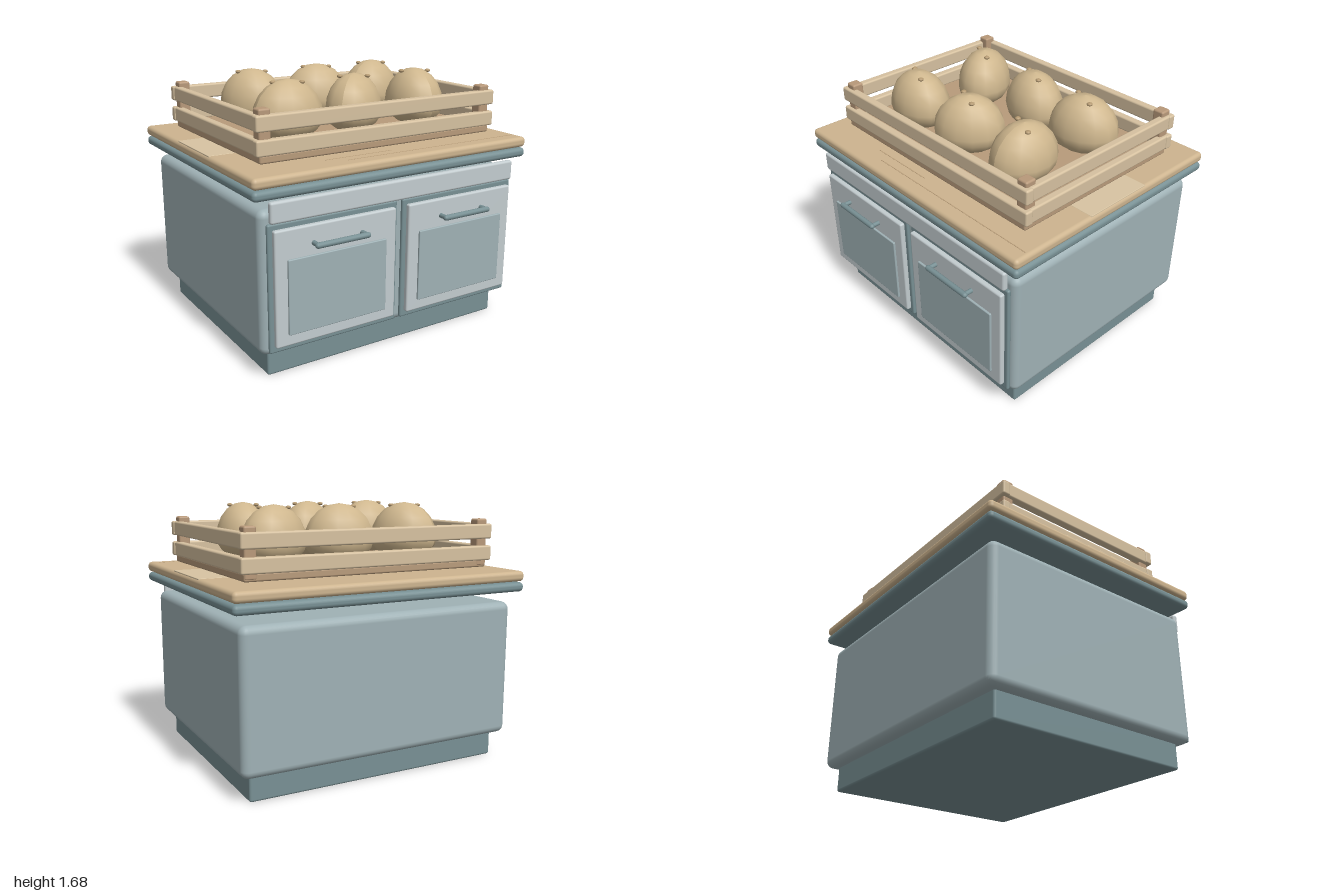
import * as THREE from 'three';
import { RoundedBoxGeometry } from 'three/addons/geometries/RoundedBoxGeometry.js';

const mat = (color) => new THREE.MeshStandardMaterial({ color });
const M = {
  body: mat(0x9fb1b5), trim: mat(0x789094), door: mat(0xc3cccf), panel: mat(0x9fb1b5),
  top: mat(0xcdb48f), plank: mat(0xd8c4a2), grain: mat(0xb89c78),
  slat: mat(0xd6c1a0), post: mat(0xb8997a), floor: mat(0xb89b7b), potato: mat(0xcfb78e), eye: mat(0xb59a72),
};

// Rounded box given by its extents on each axis
function box(parent, name, [x0, x1], [y0, y1], [z0, z1], material, radius = 0.012) {
  const w = x1 - x0, h = y1 - y0, d = z1 - z0;
  const geometry = new RoundedBoxGeometry(w, h, d, 3, Math.min(radius, w * 0.45, h * 0.45, d * 0.45));
  const mesh = new THREE.Mesh(geometry, material);
  mesh.name = name;
  mesh.position.set((x0 + x1) / 2, (y0 + y1) / 2, (z0 + z1) / 2);
  parent.add(mesh);
  return mesh;
}

function group(parent, name) {
  const g = new THREE.Group();
  g.name = name;
  parent.add(g);
  return g;
}

// Door centred on its own x axis: backing, frame, raised panel and bar handle
function addDoor(parent, name, x) {
  const door = group(parent, name);
  door.position.x = x;
  box(door, 'doorBacking', [-0.443, 0.443], [0.19, 0.975], [0.745, 0.772], M.trim);
  box(door, 'doorFrame', [-0.415, 0.415], [0.23, 0.942], [0.765, 0.803], M.door);
  box(door, 'doorPanel', [-0.337, 0.337], [0.3, 0.763], [0.79, 0.816], M.panel, 0.006);
  const bar = new THREE.Mesh(new THREE.CapsuleGeometry(0.018, 0.338, 4, 12), M.trim);
  bar.name = 'handleBar';
  bar.rotation.z = Math.PI / 2;
  bar.position.set(0, 0.833, 0.859);
  door.add(bar);
  for (const s of [-1, 1]) {
    const foot = new THREE.Mesh(new THREE.CylinderGeometry(0.015, 0.015, 0.06, 12), M.trim);
    foot.name = 'handleFoot';
    foot.rotation.x = Math.PI / 2;
    foot.position.set(s * 0.165, 0.833, 0.829);
    door.add(foot);
  }
}

// Potato: domed top, flattened underside, two small eyes
function addPotato(parent, x, z, angle) {
  const potato = group(parent, 'potato');
  potato.position.set(x, 1.45, z);
  const geometry = new THREE.SphereGeometry(1, 14, 10);
  const p = geometry.attributes.position;
  for (let i = 0; i < p.count; i++) {
    const y = p.getY(i);
    p.setXYZ(i, p.getX(i) * 0.23, y * (y > 0 ? 0.235 : 0.145), p.getZ(i) * 0.178);
  }
  geometry.computeVertexNormals();
  const skin = new THREE.Mesh(geometry, M.potato);
  skin.name = 'potatoBody';
  skin.rotation.y = THREE.MathUtils.degToRad(angle);
  potato.add(skin);
  for (const [ex, ez] of [[-0.085, -0.03], [0.075, 0.045]]) {
    const eye = new THREE.Mesh(new THREE.SphereGeometry(0.019, 10, 6), M.eye);
    eye.name = 'potatoEye';
    eye.scale.y = 0.6;
    eye.position.set(ex, 0.215, ez);
    potato.add(eye);
  }
}

export function createModel() {
  const model = new THREE.Group();
  model.name = 'counterWithCrate';

  // Cabinet
  const cabinet = group(model, 'cabinet');
  box(cabinet, 'plinth', [-0.875, 0.875], [0, 0.2], [-0.75, 0.68], M.trim, 0.015);
  box(cabinet, 'cabinetBody', [-0.943, 0.943], [0.165, 1.052], [-0.825, 0.75], M.body, 0.05);
  box(cabinet, 'topRail', [-0.895, 0.895], [0.98, 1.108], [0.758, 0.798], M.door, 0.015);
  addDoor(cabinet, 'rightDoor', -0.463);
  addDoor(cabinet, 'leftDoor', 0.463);

  // Worktop
  const worktop = group(model, 'worktop');
  box(worktop, 'worktopTrim', [-1, 1], [1.122, 1.182], [-0.88, 0.805], M.trim, 0.026);
  box(worktop, 'worktopBoard', [-1, 1], [1.188, 1.255], [-0.88, 0.805], M.top, 0.026);
  box(worktop, 'middlePlank', [-0.99, 0.99], [1.24, 1.257], [-0.29, 0.2], M.plank, 0.003);
  box(worktop, 'grainLine', [-0.45, 0.02], [1.25, 1.2565], [0.638, 0.644], M.grain, 0.001);
  box(worktop, 'grainLine', [-0.34, 0.97], [1.25, 1.2565], [0.705, 0.711], M.grain, 0.001);

  // Slatted crate
  const crate = group(model, 'crate');
  box(crate, 'crateFloor', [-0.85, 0.85], [1.27, 1.32], [-0.665, 0.595], M.floor);
  for (const y of [[1.315, 1.41], [1.455, 1.55]]) {
    box(crate, 'frontSlat', [-0.875, 0.875], y, [0.555, 0.61], M.slat);
    box(crate, 'backSlat', [-0.875, 0.875], y, [-0.688, -0.635], M.slat);
    for (const x of [[-0.868, -0.815], [0.815, 0.868]]) {
      box(crate, 'sideSlat', x, y, [-0.66, 0.58], M.slat);
    }
  }
  for (const x of [-0.81, 0.81]) {
    for (const z of [-0.63, 0.55]) {
      box(crate, 'cornerPost', [x - 0.038, x + 0.038], [1.28, 1.583], [z - 0.038, z + 0.038], M.post);
    }
  }

  // Potatoes: x, z, turn in degrees
  const potatoes = group(crate, 'potatoes');
  for (const [x, z, angle] of [
    [-0.455, -0.285, -60], [0.04, -0.285, -15], [0.49, -0.27, 18],
    [-0.485, 0.26, 0], [0, 0.25, 38], [0.485, 0.25, 86],
  ]) addPotato(potatoes, x, z, angle);

  return model;
}
